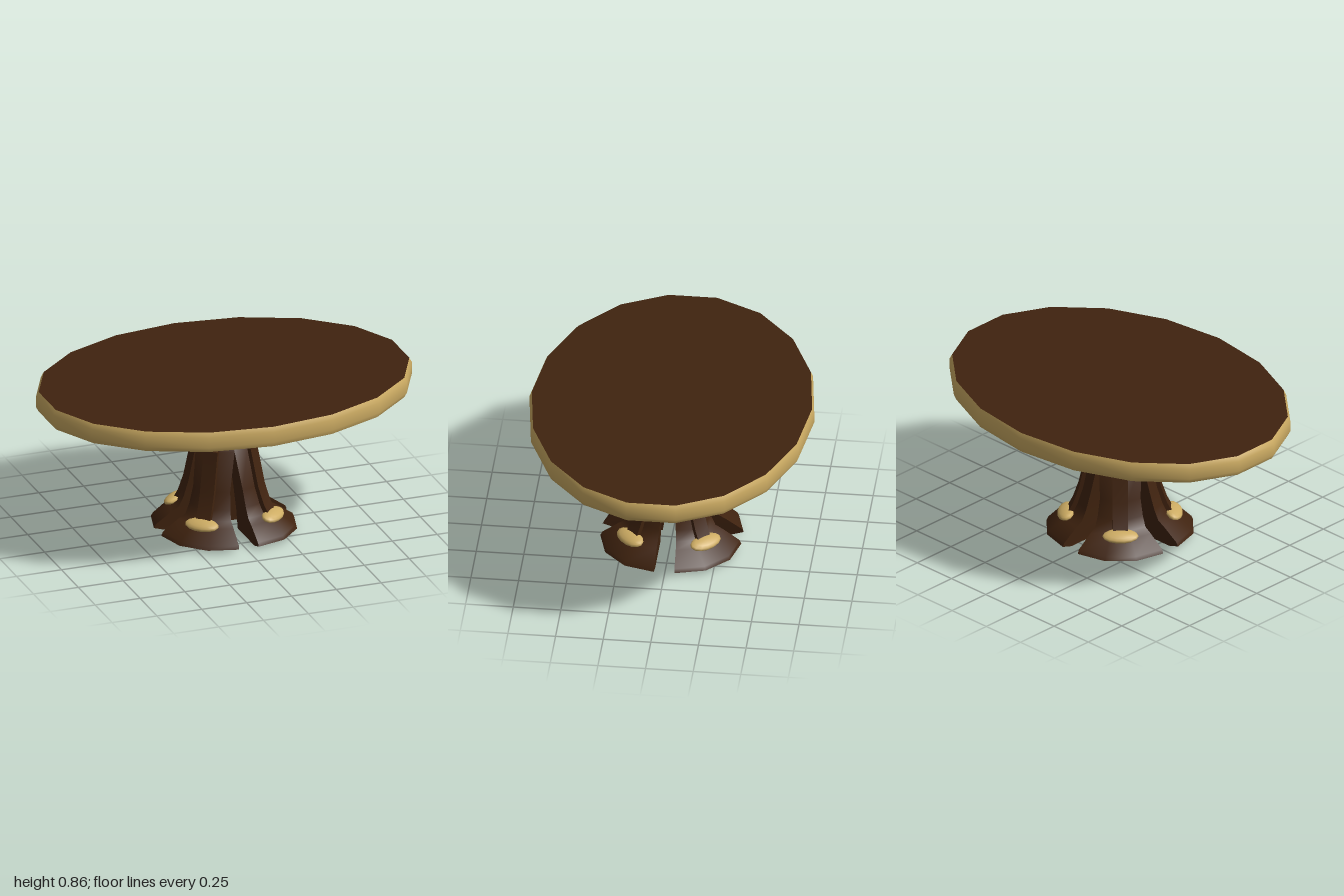
import * as THREE from 'three';
import { toCreasedNormals } from 'three/addons/utils/BufferGeometryUtils.js';

const wood = new THREE.MeshStandardMaterial({ color: 0x40230f });
wood.name = 'dark wood';
const gold = new THREE.MeshStandardMaterial({ color: 0xcdac63 });
gold.name = 'pale gold';

function addMesh(parent, name, geometry, material) {
  const mesh = new THREE.Mesh(geometry, material);
  mesh.name = name;
  parent.add(mesh);
  return mesh;
}

// Closed solid through horizontal loops of [x, y, z], each counterclockwise from above
function loft(loops, crease) {
  const n = loops[0].length, last = (loops.length - 1) * n, index = [];
  for (let s = 0; s < loops.length - 1; s++) {
    for (let i = 0; i < n; i++) {
      const a = s * n + i, b = s * n + (i + 1) % n;
      index.push(a, b, b + n, a, b + n, a + n);
    }
  }
  for (let i = 1; i < n - 1; i++) {
    index.push(0, i + 1, i, last, last + i, last + i + 1);
  }
  const g = new THREE.BufferGeometry();
  g.setAttribute('position', new THREE.Float32BufferAttribute(loops.flat(2), 3));
  g.setIndex(index);
  return toCreasedNormals(g, crease);
}

// Quarter-pie section: corner set off the axis by gap, rounded side facing +z
function pie([y, gap, radius]) {
  const apex = gap * Math.SQRT2;
  const loop = [[0, y, apex]];
  for (const deg of [-45, -15, 15, 45]) {
    const t = THREE.MathUtils.degToRad(deg);
    loop.push([radius * Math.sin(t), y, apex + radius * Math.cos(t)]);
  }
  return loop;
}

function createTop() {
  const top = new THREE.Group();
  top.name = 'tableTop';
  const profile = [[0.985, 0.745], [1, 0.772], [1, 0.828], [0.985, 0.855]]
    .map(([r, y]) => new THREE.Vector2(r, y));
  addMesh(top, 'rim', new THREE.LatheGeometry(profile, 18), gold);
  const disc = (name, y, turn) => {
    const g = new THREE.CircleGeometry(0.985, 18, Math.PI / 2);
    addMesh(top, name, g.rotateX(turn).translate(0, y, 0), wood);
  };
  disc('topSurface', 0.855, -Math.PI / 2);
  disc('underside', 0.745, Math.PI / 2);
  top.scale.set(1.0154, 1, 0.747);
  return top;
}

function createLeg() {
  const leg = new THREE.Group();
  leg.name = 'leg';
  // Height, gap and radius from the sole up to the column
  const sections = [
    [0, 0.055, 0.25], [0.02, 0.055, 0.315], [0.04, 0.053, 0.308],
    [0.1, 0.05, 0.225], [0.125, 0.048, 0.185], [0.18, 0.043, 0.166],
    [0.27, 0.035, 0.15], [0.48, 0, 0.157], [0.522, 0, 0.12],
  ];
  addMesh(leg, 'legAndFoot', loft(sections.map(pie), 0.75), wood);

  // Raised strip down the outer face
  const strip = [[0.12, 0.277], [0.18, 0.246], [0.27, 0.215], [0.485, 0.17]]
    .map(([y, r]) => {
      const w = 0.04;
      return [[-w, y, r - 0.04], [-w, y, r], [w, y, r], [w, y, r - 0.04]];
    });
  addMesh(leg, 'raisedStrip', loft(strip, 0.5), wood);

  // Gilded pad on the instep
  const pad = addMesh(leg, 'footPad', new THREE.SphereGeometry(1, 14, 8), gold);
  pad.scale.set(0.095, 0.024, 0.05);
  pad.position.set(0, 0.113, 0.28);
  pad.rotation.x = 0.3;
  return leg;
}

export function createModel() {
  const model = new THREE.Group();
  model.name = 'pedestalTable';
  model.add(createTop());

  // Column with its collar
  const column = new THREE.CylinderGeometry(0.12, 0.12, 0.23, 12).translate(0, 0.633, 0);
  addMesh(model, 'column', toCreasedNormals(column, 0.4), wood);
  const collar = new THREE.CylinderGeometry(0.135, 0.135, 0.02, 12).translate(0, 0.62, 0);
  addMesh(model, 'collar', toCreasedNormals(collar, 0.6), wood);

  // Four legs on the diagonals
  for (let i = 0; i < 4; i++) {
    const leg = createLeg();
    leg.rotation.y = Math.PI / 4 + i * Math.PI / 2;
    model.add(leg);
  }
  return model;
}
